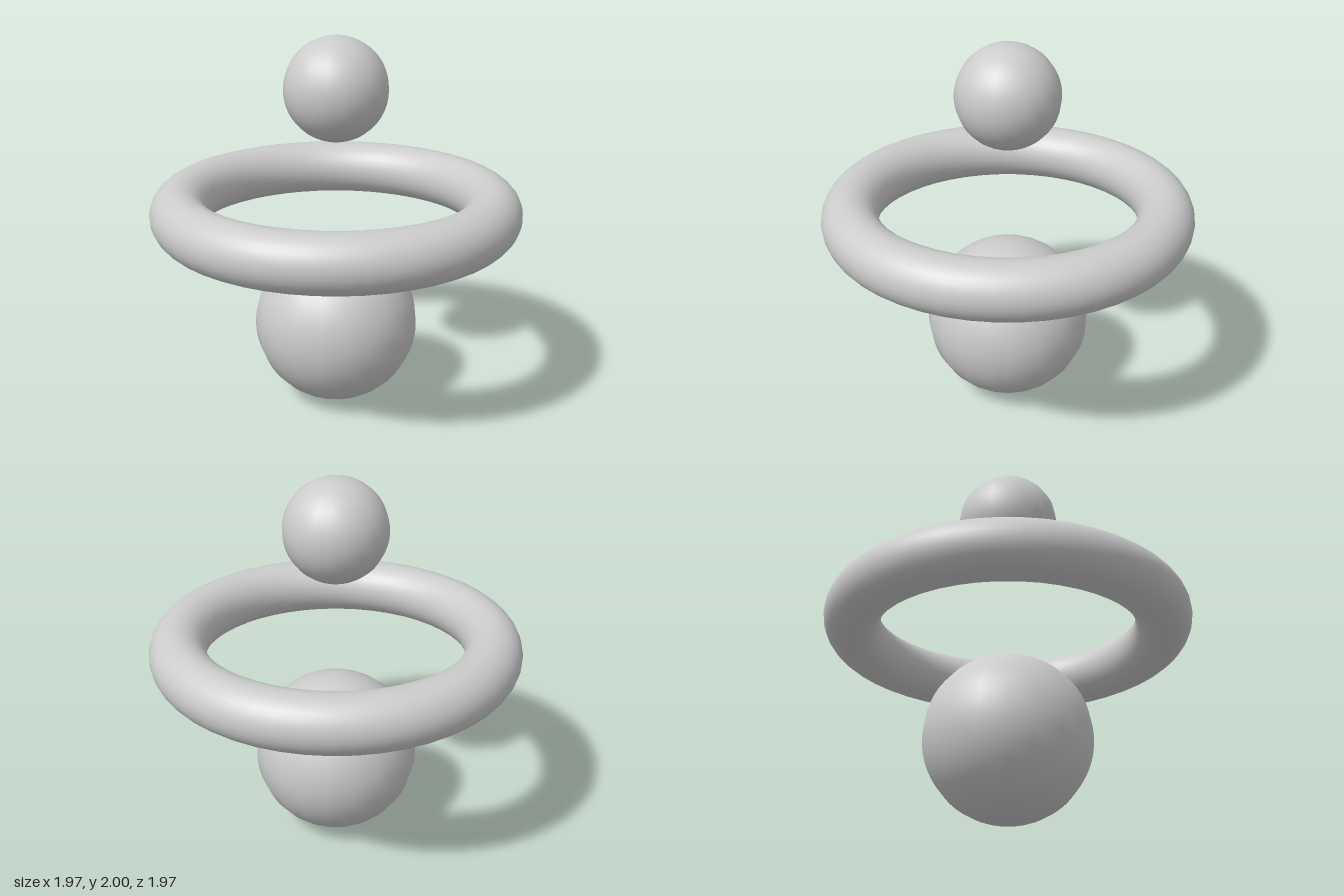
import * as THREE from 'three';

export function createModel() {
  const group = new THREE.Group();
  const material = new THREE.MeshStandardMaterial({ color: 0xcccccc });

  const add = (name, geometry, y) => {
    const mesh = new THREE.Mesh(geometry, material);
    mesh.name = name;
    mesh.position.y = y;
    group.add(mesh);
  };

  // Large ball at the bottom
  add('lowerBall', new THREE.SphereGeometry(0.442, 20, 40), 0.442);

  // Horizontal ring floating between the two balls
  add('ring', new THREE.TorusGeometry(0.833, 0.15, 32, 48).rotateX(Math.PI / 2), 1.084);

  // Small ball at the top
  add('upperBall', new THREE.SphereGeometry(0.274, 20, 40), 1.726);

  return group;
}
